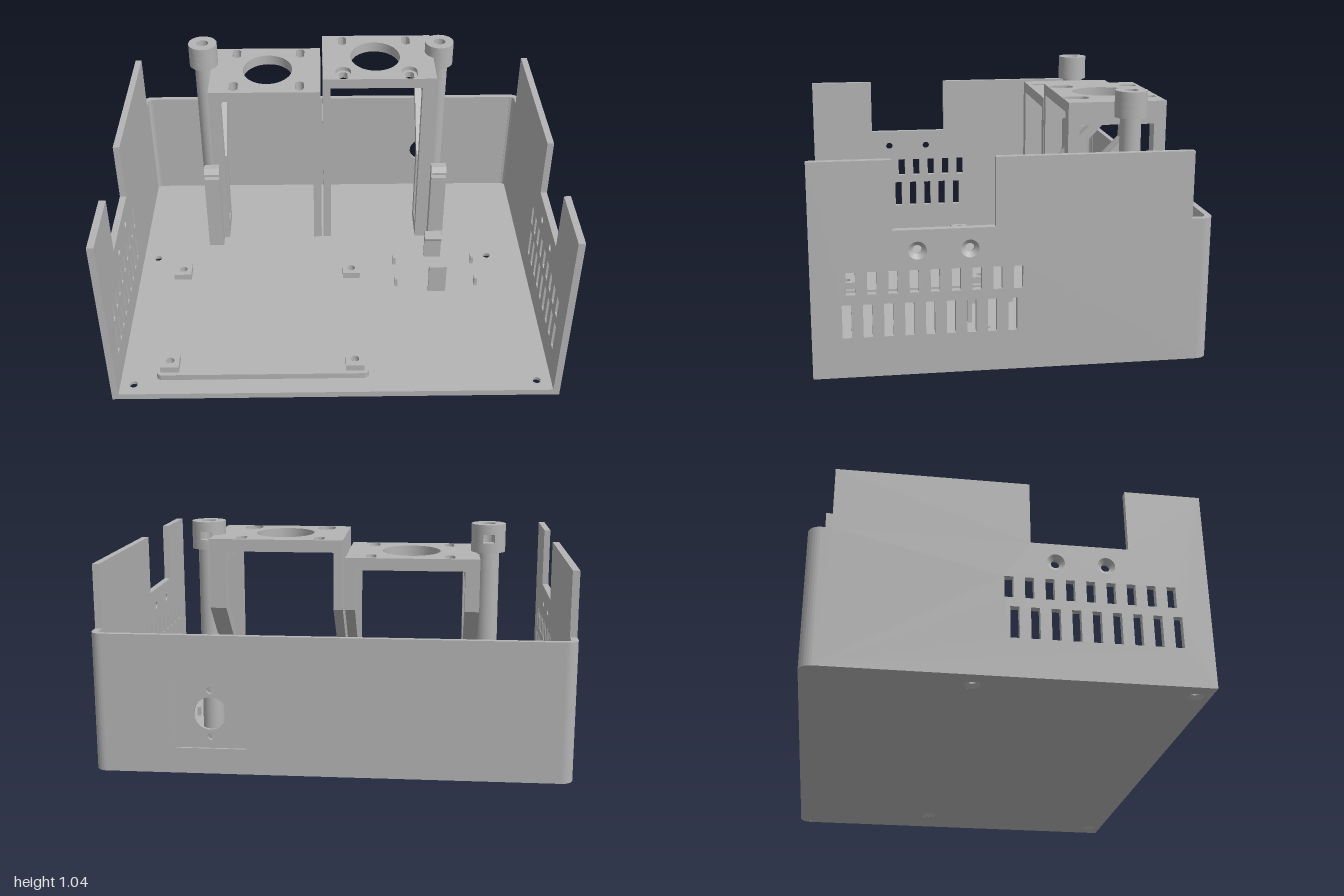
import * as THREE from 'three';
import { toCreasedNormals } from 'three/addons/utils/BufferGeometryUtils.js';

const grey = new THREE.MeshStandardMaterial({ color: 0xb4b4b4 });
grey.name = 'grey plastic';

// ---- outline helpers ----
const poly = pts => new THREE.Shape(pts.map(p => new THREE.Vector2(p[0], p[1])));
const rect = (u0, v0, u1, v1) => poly([[u0, v0], [u1, v0], [u1, v1], [u0, v1]]);
const oval = (u, v, ru, rv = ru) => new THREE.Shape().absellipse(u, v, ru, rv, 0, Math.PI * 2);
const stadium = (u, v, r, half) => {
  const s = new THREE.Shape();
  s.absarc(u, v + half - r, r, 0, Math.PI);
  s.absarc(u, v - half + r, r, Math.PI, Math.PI * 2);
  s.closePath();
  return s;
};
const rounded = (u0, v0, u1, v1, r) => {
  const s = new THREE.Shape();
  s.absarc(u1 - r, v1 - r, r, 0, Math.PI / 2);
  s.absarc(u0 + r, v1 - r, r, Math.PI / 2, Math.PI);
  s.absarc(u0 + r, v0 + r, r, Math.PI, Math.PI * 1.5);
  s.absarc(u1 - r, v0 + r, r, Math.PI * 1.5, Math.PI * 2);
  s.closePath();
  return s;
};

export function createModel() {
  const model = new THREE.Group();
  model.name = 'enclosure';

  const add = (name, geo, mat = grey) => {
    const m = new THREE.Mesh(geo, mat);
    m.name = name;
    model.add(m);
    return m;
  };
  const box = (name, x0, x1, y0, y1, z0, z1) =>
    add(name, new THREE.BoxGeometry(x1 - x0, y1 - y0, z1 - z0)
      .translate((x0 + x1) / 2, (y0 + y1) / 2, (z0 + z1) / 2));
  const extrude = (shape, holes, depth) => {
    shape.holes = holes;
    return new THREE.ExtrudeGeometry(shape, { depth, bevelEnabled: false, curveSegments: 20 });
  };
  // Outline in (x, z), standing between y0 and y1
  const plan = (name, shape, holes, y0, y1) =>
    add(name, toCreasedNormals(extrude(shape, holes, y1 - y0).rotateX(Math.PI / 2).translate(0, y1, 0), 0.6));
  // Outline in (z, y), between x0 and x1
  const side = (name, shape, holes, x0, x1) =>
    add(name, toCreasedNormals(extrude(shape, holes, x1 - x0).rotateY(-Math.PI / 2).translate(x1, 0, 0), 0.6));
  // Outline in (x, y), between z0 and z1
  const front = (name, shape, holes, z0, z1) =>
    add(name, toCreasedNormals(extrude(shape, holes, z1 - z0).translate(0, 0, z0), 0.6));
  // Countersink cone around y, wide end at y = 0, narrow end at y = depth
  const greyOpen = new THREE.MeshStandardMaterial({ color: 0xb4b4b4, side: THREE.DoubleSide });
  greyOpen.name = 'grey plastic open';
  const cone = (rWide, rNarrow, depth) => new THREE.LatheGeometry(
    [new THREE.Vector2(rWide, 0), new THREE.Vector2(rNarrow, depth)], 24);

  // ---- floor with countersunk screw holes ----
  const screws = [[-0.9, -0.14], [0.79, -0.14], [-0.91, 0.74], [0.905, 0.74]];
  const floorHoles = r => screws.map(([x, z]) => oval(x, z, r));
  plan('floorLower', rect(-0.97, -0.775, 0.97, 0.8), floorHoles(0.032), 0, 0.015);
  plan('floorUpper', rect(-0.97, -0.775, 0.97, 0.8), floorHoles(0.018), 0.015, 0.03);
  for (const [x, z] of screws)
    add('floorCountersink', cone(0.032, 0.018, 0.015).translate(x, 0, z), greyOpen);

  // ---- side walls: stepped top, two rows of vents, two countersunk holes ----
  const wallOutline = () => poly([[0.8, 0], [0.8, 0.87], [0.48, 0.87], [0.48, 0.593], [0.08, 0.593],
    [0.08, 0.87], [-0.708, 0.87], [-0.708, 0.595], [-0.75, 0.595], [-0.75, 0]]);
  const wallHoles = r => {
    const holes = [0.385, 0.18].map(z => oval(z, 0.51, r));
    for (let i = 0; i < 9; i++) {
      const zu = 0.645 - i * 0.082, zl = 0.663 - i * 0.0815;
      holes.push(rect(zu - 0.018, 0.34, zu + 0.018, 0.432), rect(zl - 0.018, 0.165, zl + 0.018, 0.3));
    }
    return holes;
  };
  for (const s of [-1, 1]) {
    const layer = (name, a, b, r) =>
      side(name, wallOutline(), wallHoles(r), Math.min(s * a, s * b), Math.max(s * a, s * b));
    layer('sideWallInner', 0.97, 0.985, 0.018);
    layer('sideWallOuter', 0.985, 1, 0.036);
    for (const z of [0.385, 0.18])
      add('wallCountersink', cone(0.036, 0.018, 0.015).rotateZ(s * Math.PI / 2).translate(s, 0.51, z), greyOpen);
    // rounded back corner
    const c = new THREE.Shape();
    const a0 = s > 0 ? 0 : Math.PI, a1 = -Math.PI / 2;
    const end = s > 0 ? a1 : Math.PI * 1.5;
    c.absarc(s * 0.95, -0.75, 0.05, a0, end, s > 0);
    c.absarc(s * 0.95, -0.75, 0.022, end, a0, s < 0);
    c.closePath();
    plan('backCorner', c, [], 0, 0.595);
  }

  // ---- back wall with recessed connector plate ----
  const backWall = () => rect(-0.95, 0, 0.95, 0.595);
  front('backWallOuter', backWall(), [rect(0.35, 0.11, 0.65, 0.41)], -0.8, -0.79);
  front('backWallInner', backWall(),
    [oval(0.5, 0.26, 0.07), oval(0.5, 0.36, 0.015), oval(0.5, 0.16, 0.015)], -0.79, -0.775);

  // ---- board tray and stand-offs ----
  plan('boardTray', rounded(-0.81, -0.04, 0.15, 0.715, 0.025), [], 0.03, 0.06);
  for (const x of [-0.75, 0.087])
    for (const z of [0.02, 0.655])
      plan('standoff', rect(x - 0.042, z - 0.042, x + 0.042, z + 0.042), [oval(x, z, 0.019)], 0.06, 0.092);

  // ---- small board holder: locating pegs and snap clips ----
  for (const x of [0.31, 0.705])
    for (const z of [-0.09, 0.075])
      box('peg', x - 0.007, x + 0.007, 0.03, 0.072, z - 0.015, z + 0.015);
  for (const [z, d] of [[-0.14, 1], [0.12, -1]])
    side('snapClip', poly([[z - d * 0.013, 0.03], [z + d * 0.004, 0.03], [z + d * 0.004, 0.135],
      [z + d * 0.015, 0.15], [z - d * 0.005, 0.185], [z - d * 0.013, 0.185]]), [], 0.465, 0.55);

  // ---- hooked posts in front of the holders ----
  for (const x of [-0.606, 0.53])
    side('hookedPost', poly([[-0.305, 0.03], [-0.245, 0.03], [-0.245, 0.45], [-0.27, 0.45], [-0.27, 0.465],
      [-0.25, 0.475], [-0.27, 0.5], [-0.305, 0.5]]), [], x - 0.037, x + 0.037);

  // ---- two motor holders: slotted top plate on windowed side panels ----
  const panel = (x0, x1, top) => side('holderPanel',
    poly([[-0.31, 0.03], [-0.31, top], [-0.743, top], [-0.743, 0.7], [-0.49, 0.44], [-0.49, 0.03]]),
    [poly([[-0.36, 0.09], [-0.36, top - 0.05], [-0.69, top - 0.05], [-0.69, 0.715], [-0.44, 0.46], [-0.44, 0.09]])],
    x0, x1);
  const holder = (x0, x1, legL, legR, top, cx, counterbored) => {
    const under = top - 0.05, mid = top - 0.02;
    panel(x0, x0 + legL, under);
    panel(x1 - legR, x1, under);
    const holes = big => {
      const h = [oval(cx, -0.53, 0.122, 0.14)];
      for (const dx of [-0.16, 0.16]) {
        h.push(stadium(cx + dx, -0.69, 0.021, 0.041));
        h.push(big ? stadium(cx + dx, -0.37, 0.037, 0.057) : stadium(cx + dx, -0.37, 0.021, 0.041));
      }
      return h;
    };
    plan('holderPlateLower', rect(x0, -0.743, x1, -0.31), holes(false), under, mid);
    plan('holderPlateUpper', rect(x0, -0.743, x1, -0.31), holes(counterbored), mid, top);
  };
  holder(-0.6, -0.058, 0.058, 0.04, 0.915, -0.32, false);
  holder(-0.048, 0.498, 0.038, 0.066, 0.985, 0.212, true);

  // ---- capped columns with a bore and a rear slot in the cap ----
  for (const x of [-0.637, 0.53]) {
    const z = -0.575;
    add('columnShaft', new THREE.CylinderGeometry(0.046, 0.046, 0.9, 32).translate(x, 0.48, z));
    const ring = (y0, y1) => plan('columnCap', oval(x, z, 0.07), [oval(x, z, 0.029)], y0, y1);
    ring(0.925, 0.965);
    const a = -Math.PI / 2 + 0.35, b = Math.PI * 1.5 - 0.35;
    const slotted = new THREE.Shape();
    slotted.absarc(x, z, 0.07, a, b);
    slotted.absarc(x, z, 0.029, b - 0.4, a + 0.4, true);
    slotted.closePath();
    plan('columnCapSlot', slotted, [], 0.965, 1.0);
    ring(1.0, 1.04);
  }

  return model;
}
